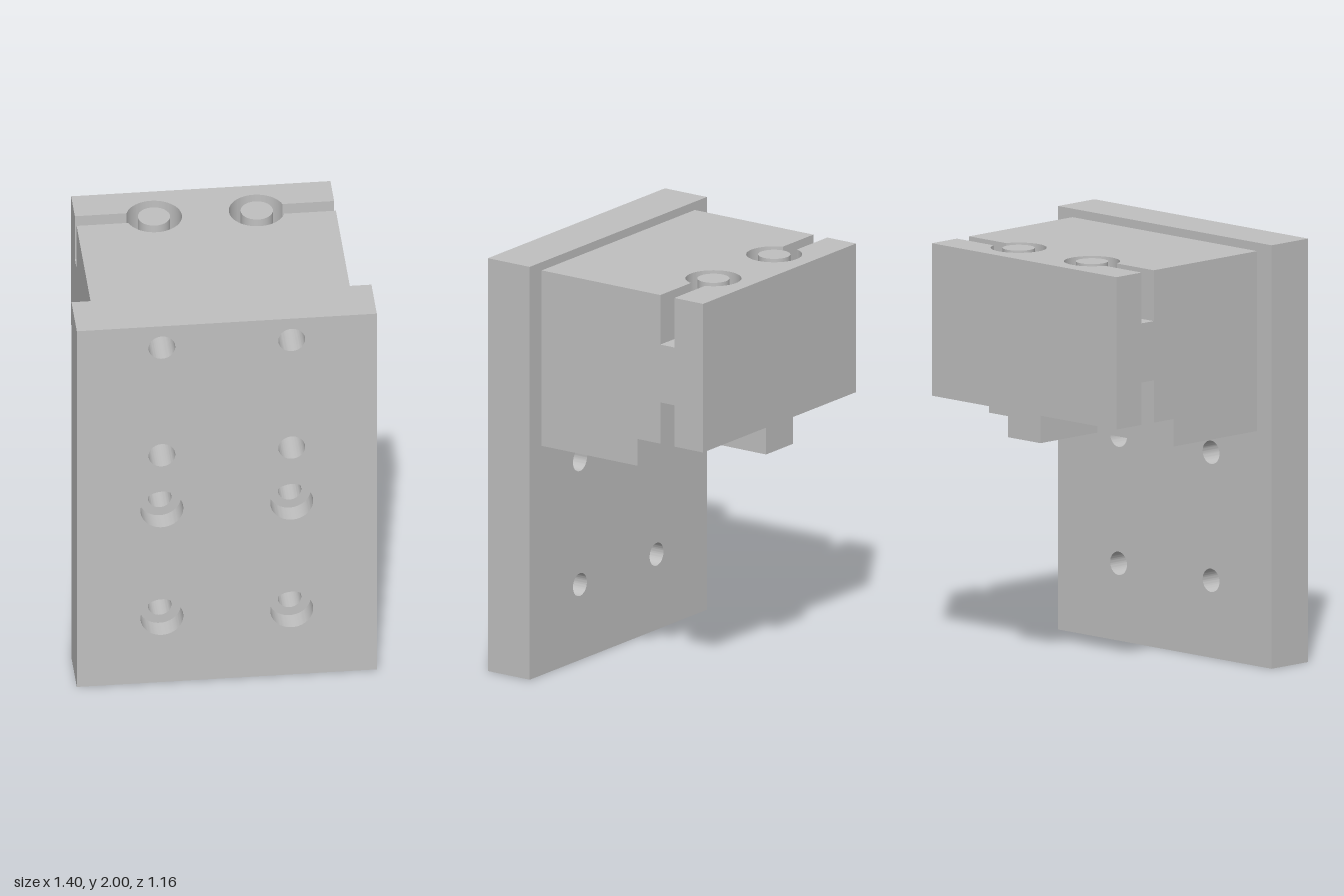
import * as THREE from 'three';
import { toCreasedNormals } from 'three/addons/utils/BufferGeometryUtils.js';

const steel = new THREE.MeshStandardMaterial({ color: 0xc0c0c0 });
steel.name = 'plain steel';

// block extents and clamp channel sizes
const W = 0.605, BACK = -0.585, FRONT = 0.34;
const RING_X = 0.24, RING_Z = -0.38, RING_R = 0.13, PIN_R = 0.075, SLOT = 0.04;

function extrude(shape, depth) {
  const g = new THREE.ExtrudeGeometry(shape, { depth, bevelEnabled: false, curveSegments: 40 });
  return toCreasedNormals(g, 0.6);
}

function polygon(points) {
  return new THREE.Shape(points.map(([x, y]) => new THREE.Vector2(x, y)));
}

function add(parent, name, geometry) {
  const mesh = new THREE.Mesh(geometry, steel);
  mesh.name = name;
  parent.add(mesh);
  return mesh;
}

// one thickness of the mounting plate, with holes [x, y, radius]
function plateLayer(parent, name, z0, z1, holes) {
  const shape = polygon([[-0.7, 0], [0.7, 0], [0.7, 2], [-0.7, 2]]);
  for (const [x, y, r] of holes) {
    const hole = new THREE.Path();
    hole.absarc(x, y, r, 0, Math.PI * 2, true);
    shape.holes.push(hole);
  }
  add(parent, name, extrude(shape, z1 - z0).translate(0, 0, z0));
}

// horizontal slice of the block; shape coordinates are (x, z)
function blockLayer(parent, name, shape, y0, y1) {
  add(parent, name, extrude(shape, y1 - y0).rotateX(Math.PI / 2).translate(0, y1, 0));
}

// block outline with a keyhole channel entering from each side
function keyholeOutline() {
  const a = Math.asin(SLOT / RING_R), s = new THREE.Shape();
  s.moveTo(-W, FRONT);
  s.lineTo(-W, RING_Z + SLOT);
  s.absarc(-RING_X, RING_Z, RING_R, Math.PI - a, -Math.PI + a, true);
  s.lineTo(-W, RING_Z - SLOT);
  s.lineTo(-W, BACK);
  s.lineTo(W, BACK);
  s.lineTo(W, RING_Z - SLOT);
  s.absarc(RING_X, RING_Z, RING_R, -a, -2 * Math.PI + a, true);
  s.lineTo(W, RING_Z + SLOT);
  s.lineTo(W, FRONT);
  s.closePath();
  return s;
}

export function createModel() {
  const model = new THREE.Group();
  model.name = 'mountingBracket';

  // mounting plate: four plain holes above, four counterbored holes below
  const plate = new THREE.Group();
  plate.name = 'mountingPlate';
  model.add(plate);
  const grid = (ys, r) => ys.flatMap((y) => [[-0.303, y, r], [0.303, y, r]]);
  const plain = grid([1.88, 1.275], 0.0625);
  const bolts = [0.97, 0.365];
  plateLayer(plate, 'plateFront', 0.48, 0.58, [...plain, ...grid(bolts, 0.1)]);
  plateLayer(plate, 'plateRear', FRONT, 0.48, [...plain, ...grid(bolts, 0.055)]);

  // block, from bottom to top
  const block = new THREE.Group();
  block.name = 'clampBlock';
  model.add(block);
  const tee = polygon([
    [-W, FRONT], [-W, -0.21], [-0.107, -0.21], [-0.107, BACK],
    [0.107, BACK], [0.107, -0.21], [W, -0.21], [W, FRONT],
  ]);
  const full = polygon([[-W, BACK], [W, BACK], [W, FRONT], [-W, FRONT]]);
  blockLayer(block, 'notchedBase', tee, 1.11, 1.24);
  blockLayer(block, 'lowerChannels', keyholeOutline(), 1.24, 1.44);
  blockLayer(block, 'solidCore', full, 1.44, 1.72);
  blockLayer(block, 'upperChannels', keyholeOutline(), 1.72, 1.96);

  // pins standing in the middle of the ring channels
  for (const side of [-1, 1]) {
    for (const [name, y0, y1] of [['lowerPin', 1.24, 1.44], ['upperPin', 1.72, 1.96]]) {
      const pin = add(block, name, new THREE.CylinderGeometry(PIN_R, PIN_R, y1 - y0, 48));
      pin.position.set(side * RING_X, (y0 + y1) / 2, RING_Z);
    }
  }
  return model;
}
